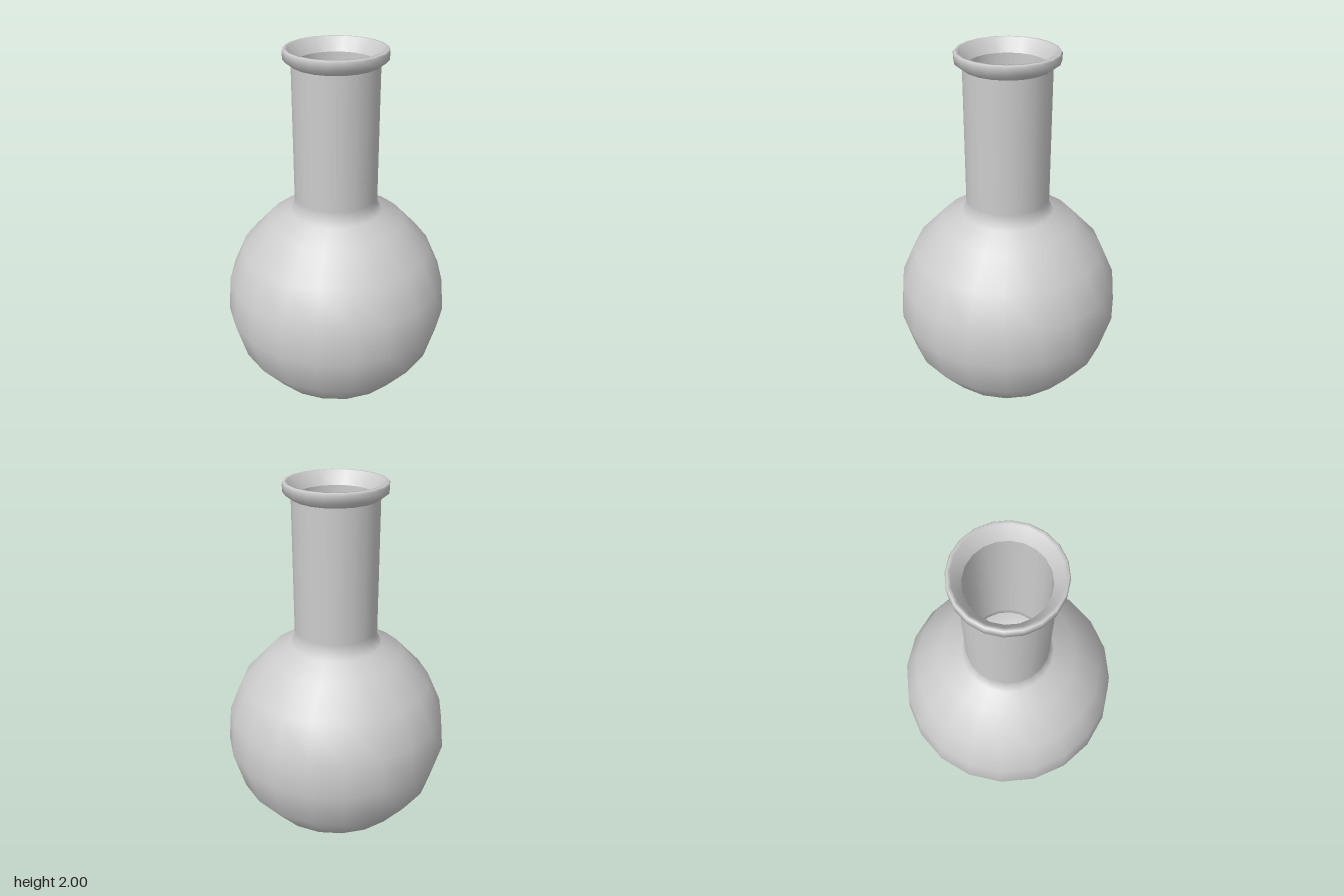
import * as THREE from 'three';

const SIDES = 20;

// Revolve a list of [radius, height] pairs; listed upwards it faces outwards.
function revolve(name, profile, material) {
  const points = profile.map(([r, y]) => new THREE.Vector2(r, y));
  const mesh = new THREE.Mesh(new THREE.LatheGeometry(points, SIDES), material);
  mesh.name = name;
  return mesh;
}

export function createModel() {
  const flask = new THREE.Group();
  flask.name = 'roundFlask';
  const glass = new THREE.MeshStandardMaterial({ color: 0xcccccc });
  glass.name = 'pale grey glass';

  // Round bulb with a small flat base, flowing into the straight neck
  flask.add(revolve('bulbAndNeck', [
    [0, 0], [0.21, 0.005], [0.42, 0.13], [0.56, 0.31], [0.62, 0.53],
    [0.6, 0.73], [0.52, 0.91], [0.37, 1.07], [0.25, 1.13], [0.225, 1.17],
    [0.225, 1.21], [0.225, 1.92],
  ], glass));

  // Flared lip, sloping inwards to the mouth
  flask.add(revolve('lip', [
    [0.225, 1.92], [0.265, 1.95], [0.267, 1.99], [0.26, 2], [0.243, 2], [0.2, 1.93],
  ], glass));

  // Hollow inside, running down from the mouth
  flask.add(revolve('innerWall', [
    [0.2, 1.93], [0.2, 1.19], [0.2, 1.15], [0.23, 1.11], [0.355, 1.05],
    [0.5, 0.895], [0.575, 0.725], [0.595, 0.53], [0.537, 0.32], [0.405, 0.15],
    [0.2, 0.03], [0, 0.025],
  ], glass));

  return flask;
}
